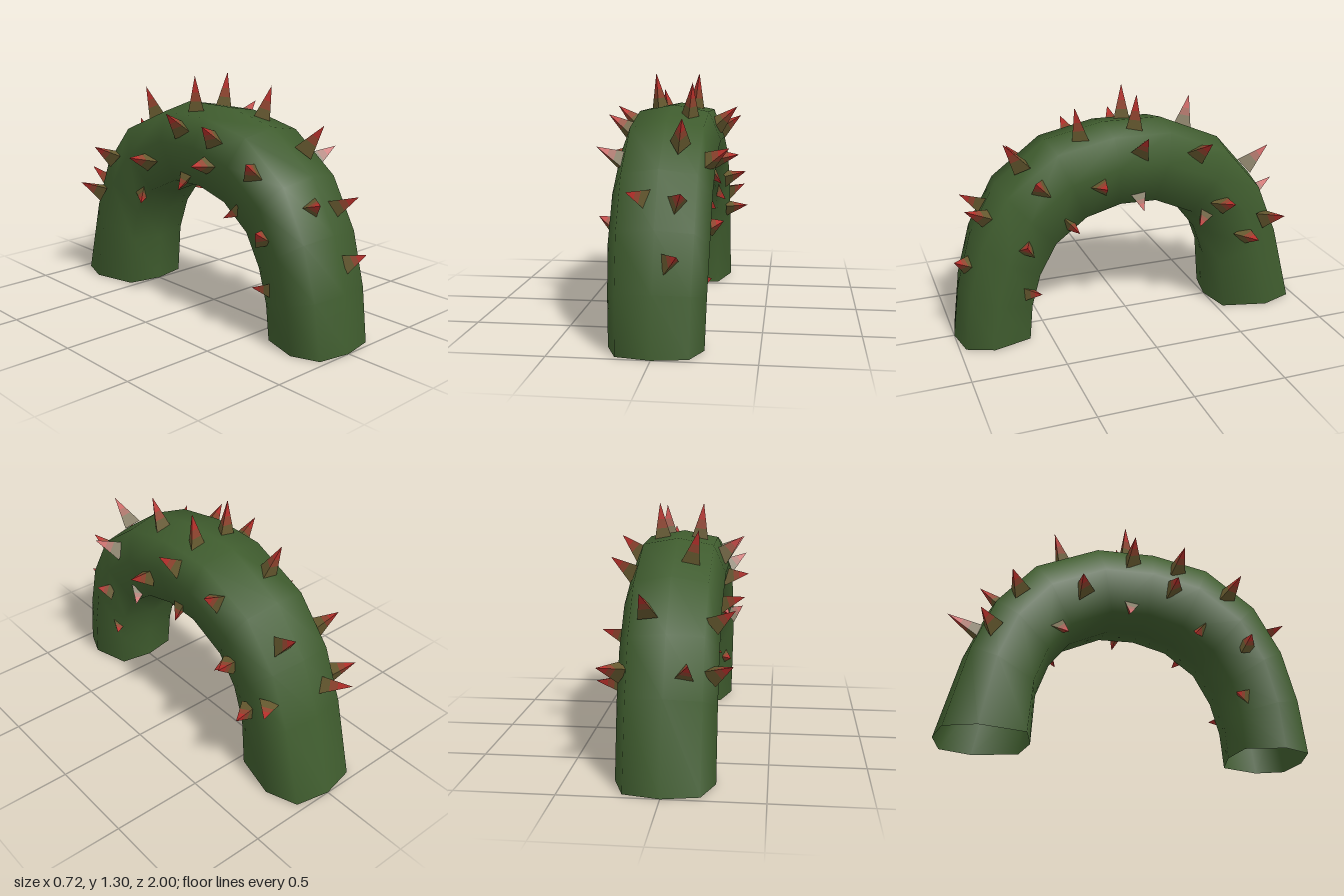
import * as THREE from 'three';

const vineGreen = new THREE.MeshStandardMaterial({ color: 0x3f5c2e, side: THREE.DoubleSide });
vineGreen.name = 'vine green';
const thornMaterial = (name, color) => {
  const m = new THREE.MeshStandardMaterial({ color, flatShading: true });
  m.name = name;
  return m;
};
// thorn bands from base to tip
const bands = [
  { from: 0, to: 0.38, mat: thornMaterial('thorn olive', 0x66592f) },
  { from: 0.38, to: 0.6, mat: thornMaterial('thorn brown red', 0x92452f) },
  { from: 0.6, to: 1, mat: thornMaterial('thorn red', 0xb8302b) },
];

// outer and inner edge of the arch as [z, y], front foot to back foot
const outer = [[1, 0], [0.96, 0.3], [0.88, 0.59], [0.73, 0.86], [0.45, 1.07], [0.13, 1.135],
  [-0.2, 1.13], [-0.55, 0.98], [-0.76, 0.74], [-0.88, 0.45], [-1, 0]];
const inner = [[0.58, 0], [0.565, 0.19], [0.52, 0.36], [0.43, 0.52], [0.27, 0.64], [0.09, 0.69],
  [-0.1, 0.685], [-0.31, 0.59], [-0.42, 0.45], [-0.485, 0.27], [-0.5, 0]];
// squarish octagon: [sideways, outward]
const section = [[0, 1], [0.75, 0.84], [1, 0.15], [0.75, -0.84], [0, -1], [-0.75, -0.84], [-1, 0.15], [-0.75, 0.84]];

function archGeometry() {
  const pos = [], index = [], n = section.length;
  outer.forEach(([oz, oy], i) => {
    const [iz, iy] = inner[i];
    const halfWidth = 0.25 - 0.015 * Math.max(0, 1 - i / 2);
    for (const [u, v] of section) {
      const t = (1 + v) / 2;
      pos.push(u * halfWidth, iy + (oy - iy) * t, iz + (oz - iz) * t);
    }
    if (i === 0) return;
    for (let j = 0; j < n; j++) {
      const a = (i - 1) * n + j, b = (i - 1) * n + (j + 1) % n;
      index.push(a, b, a + n, b, b + n, a + n);
    }
  });
  const g = new THREE.BufferGeometry();
  g.setAttribute('position', new THREE.Float32BufferAttribute(pos, 3));
  g.setIndex(index);
  g.computeVertexNormals();
  return g;
}

// three-sided thorn, its foot sunk a little into the vine
function makeThorn(name, base, tip, radius) {
  const thorn = new THREE.Group();
  thorn.name = name;
  const a = new THREE.Vector3(...base), b = new THREE.Vector3(...tip);
  const dir = b.clone().sub(a).normalize();
  a.addScaledVector(dir, -0.03);
  const length = a.distanceTo(b);
  for (const { from, to, mat } of bands) {
    const h = (to - from) * length;
    const g = new THREE.CylinderGeometry(radius * (1 - to), radius * (1 - from), h, 3, 1, true);
    g.translate(0, from * length + h / 2, 0);
    const mesh = new THREE.Mesh(g, mat);
    mesh.name = name + 'Band';
    thorn.add(mesh);
  }
  thorn.position.copy(a);
  thorn.quaternion.setFromUnitVectors(new THREE.Vector3(0, 1, 0), dir);
  return thorn;
}

// [base, tip] of thorns along the outer curve
const ridge = [
  [[0.08, 0.45, 0.92], [0.12, 0.49, 0.99]],
  [[0.1, 0.71, 0.81], [0.13, 0.77, 0.92]],
  [[-0.08, 0.73, 0.8], [-0.13, 0.77, 0.9]],
  [[0.09, 0.98, 0.61], [0.11, 1.1, 0.7]],
  [[0.1, 1.09, 0.28], [0.12, 1.26, 0.32]],
  [[0.1, 1.11, -0.02], [0.12, 1.3, -0.02]],
  [[-0.1, 1.11, -0.02], [-0.12, 1.3, -0.02]],
  [[-0.09, 1.05, -0.38], [-0.13, 1.2, -0.43]],
  [[0.1, 0.84, -0.7], [0.12, 0.94, -0.81]],
  [[-0.1, 0.56, -0.82], [-0.13, 0.64, -0.98]],
];

// thorns on the flanks
const flank = [
  [[0.23, 0.88, 0.54], [0.33, 0.95, 0.59]],
  [[0.25, 0.57, 0.63], [0.31, 0.6, 0.64]],
  [[0.25, 0.86, 0.22], [0.355, 0.88, 0.22]],
  [[0.23, 1.03, -0.01], [0.33, 1.12, -0.01]],
  [[0.23, 0.98, -0.34], [0.33, 1.05, -0.37]],
  [[0.25, 0.67, -0.48], [0.355, 0.7, -0.51]],
  [[0.25, 0.46, -0.63], [0.36, 0.47, -0.66]],
  [[0.24, 0.55, -0.76], [0.33, 0.58, -0.83]],
  [[-0.23, 0.88, 0.54], [-0.33, 0.95, 0.59]],
  [[-0.25, 0.57, 0.63], [-0.31, 0.61, 0.64]],
  [[-0.25, 0.87, 0.22], [-0.36, 0.88, 0.22]],
  [[-0.23, 1.01, 0.25], [-0.33, 1.09, 0.27]],
  [[-0.23, 1.03, -0.01], [-0.33, 1.12, -0.01]],
  [[-0.25, 0.81, -0.28], [-0.36, 0.84, -0.3]],
  [[-0.24, 0.78, -0.63], [-0.33, 0.84, -0.67]],
  [[-0.24, 0.55, -0.76], [-0.33, 0.6, -0.82]],
];

// thorns on the underside bevel, mirrored to both sides
const underside = [
  [[0.2, 0.29, 0.61], [0.245, 0.29, 0.555]],
  [[0.2, 0.65, 0.38], [0.245, 0.61, 0.34]],
  [[0.2, 0.745, -0.01], [0.245, 0.69, -0.02]],
  [[0.2, 0.59, -0.39], [0.245, 0.55, -0.35]],
];

export function createModel() {
  const model = new THREE.Group();
  model.name = 'thornyVineArch';
  const vine = new THREE.Mesh(archGeometry(), vineGreen);
  vine.name = 'vine';
  model.add(vine);
  for (const [base, tip] of ridge) model.add(makeThorn('ridgeThorn', base, tip, 0.06));
  for (const [base, tip] of flank) model.add(makeThorn('flankThorn', base, tip, 0.062));
  for (const s of [1, -1]) {
    for (const [[bx, by, bz], [tx, ty, tz]] of underside) {
      model.add(makeThorn('undersideThorn', [s * bx, by, bz], [s * tx, ty, tz], 0.05));
    }
  }
  return model;
}
